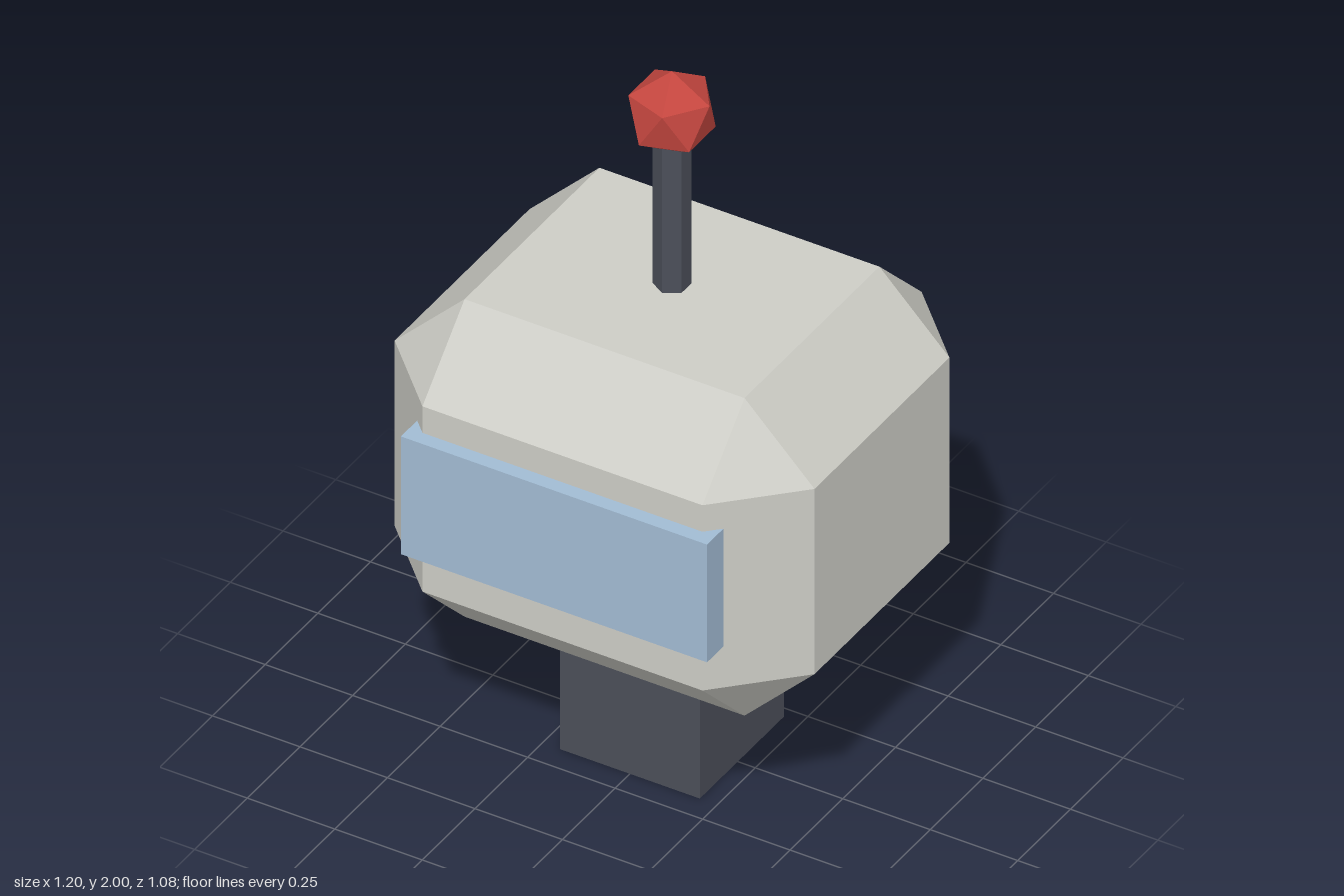
import * as THREE from 'three';
import { ConvexGeometry } from 'three/addons/geometries/ConvexGeometry.js';

function material(name, color) {
  const m = new THREE.MeshStandardMaterial({ color, flatShading: true });
  m.name = name;
  return m;
}

// Box with every edge cut at 45 degrees; h holds its half sizes
function chamferedBox(h, cut) {
  const points = [];
  for (const sx of [-1, 1]) for (const sy of [-1, 1]) for (const sz of [-1, 1]) {
    for (let axis = 0; axis < 3; axis++) {
      const p = h.map((v, i) => (i === axis ? v : v - cut));
      points.push(new THREE.Vector3(sx * p[0], sy * p[1], sz * p[2]));
    }
  }
  return new ConvexGeometry(points);
}

export function createModel() {
  const model = new THREE.Group();
  model.name = 'robotHead';
  const shell = material('light grey shell', 0xcdcdc6);
  const dark = material('dark metal', 0x4b4f59);
  const glass = material('pale blue visor', 0xa2bcd4);
  const red = material('red tip', 0xc4463f);

  const add = (name, geometry, mat, y, z = -0.02) => {
    const mesh = new THREE.Mesh(geometry, mat);
    mesh.name = name;
    mesh.position.set(0, y, z);
    model.add(mesh);
  };

  // Head on a square neck
  add('neck', new THREE.BoxGeometry(0.4, 0.4, 0.4), dark, 0.2);
  add('head', chamferedBox([0.6, 0.48, 0.52], 0.2), shell, 0.88);
  add('visor', new THREE.BoxGeometry(0.875, 0.356, 0.08), glass, 0.902, 0.5);

  // Six-sided antenna
  add('antenna', new THREE.CylinderGeometry(0.048, 0.048, 0.46, 6), dark, 1.58);

  // Faceted tip, turned so that one corner points straight up
  const tip = new THREE.IcosahedronGeometry(0.12, 0);
  tip.rotateZ(-Math.atan(2 / (1 + Math.sqrt(5))));
  add('antennaTip', tip, red, 1.88);

  return model;
}
